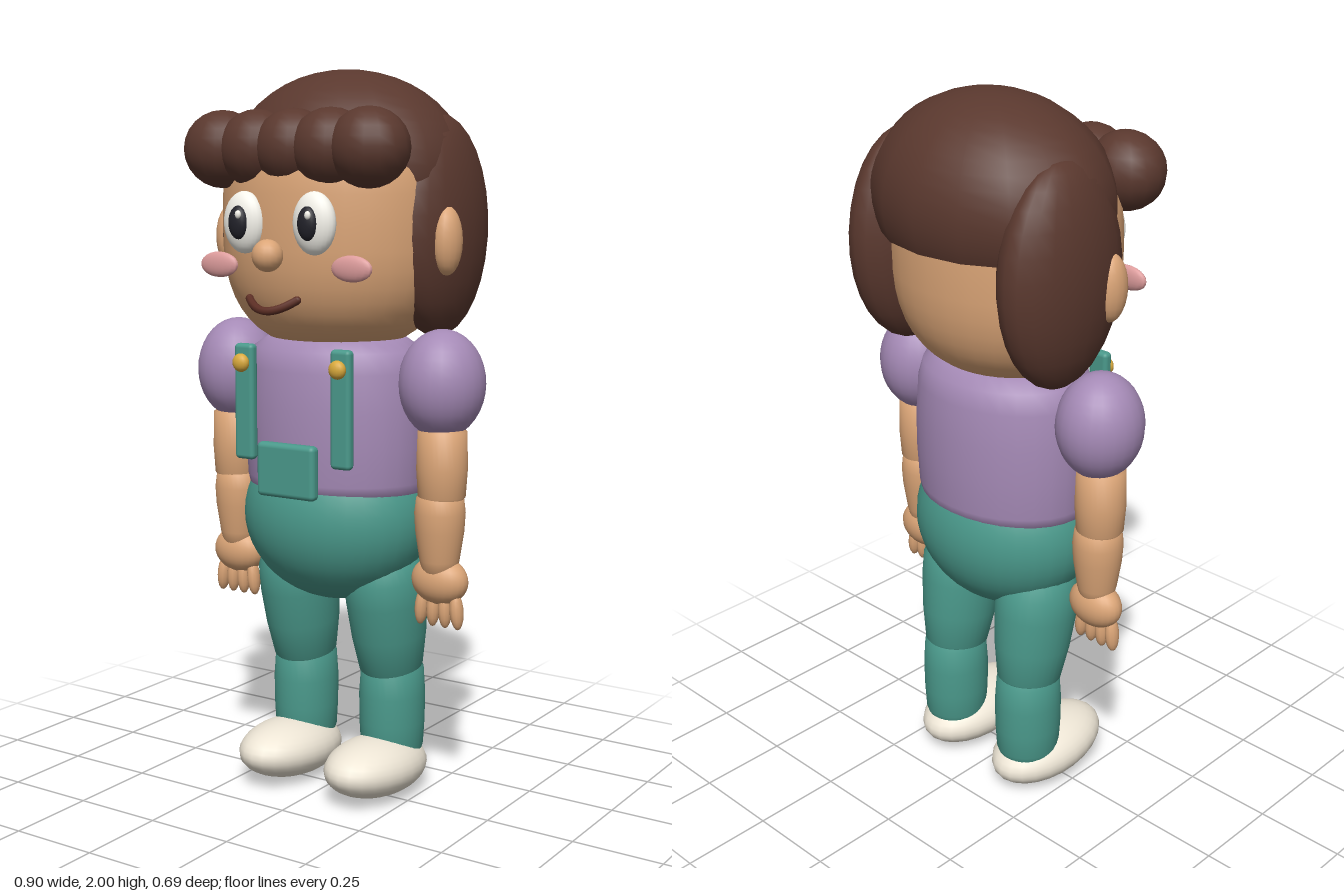
import * as THREE from 'three';
import { RoundedBoxGeometry } from 'three/addons/geometries/RoundedBoxGeometry.js';

const paint = (color) => new THREE.MeshStandardMaterial({ color });

export function createModel() {
  const model = new THREE.Group();
  model.name = 'child';
  const skin = paint(0xdba577), hair = paint(0x5a382e), shirt = paint(0xa58ab6), denim = paint(0x4a998b);
  const shoe = paint(0xeee6d6), white = paint(0xf4f2ea), dark = paint(0x22222a);
  const blush = paint(0xdd9c9c), brass = paint(0xd9a93c), lip = paint(0x5c2e24);
  hair.side = THREE.DoubleSide;

  const add = (name, geometry, material, [x, y, z], parent = model) => {
    const mesh = new THREE.Mesh(geometry, material);
    mesh.name = name;
    mesh.position.set(x, y, z);
    parent.add(mesh);
    return mesh;
  };
  // ellipsoid with three radii
  const ball = (name, material, pos, [rx, ry, rz], segments = 24, parent = model) =>
    add(name, new THREE.SphereGeometry(1, segments, Math.ceil(segments * 0.75)).scale(rx, ry, rz), material, pos, parent);
  // smooth lathe through [radius, y] points, squashed to an oval
  const turned = (name, material, points, pos, sx = 1, sz = 1, parent = model) => {
    const profile = points.map(([r, y]) => new THREE.Vector2(r, y));
    return add(name, new THREE.LatheGeometry(profile, 32).scale(sx, 1, sz), material, pos, parent);
  };

  // head: squarish oval profile
  const headProfile = [];
  for (let i = 0; i <= 24; i++) {
    const a = -Math.PI / 2 + (Math.PI * i) / 24;
    const c = Math.max(0, Math.cos(a)), s = Math.sin(a);
    headProfile.push([c ** (2 / 2.7), Math.sign(s) * Math.abs(s) ** (2 / 2.7) * (s < 0 ? 0.35 : 0.32)]);
  }
  headProfile[0][0] = headProfile[24][0] = 0;
  turned('head', skin, headProfile, [0, 1.6, -0.02], 0.325, 0.28);

  // hair cap and fringe curls
  add('hairCap', new THREE.SphereGeometry(1, 16, 14, 0, Math.PI * 2, 0, Math.PI * 0.61).scale(0.35, 0.275, 0.28),
    hair, [0, 1.725, -0.065]);
  for (let i = -2; i <= 2; i++) ball('fringeCurl', hair, [i * 0.115, 1.787, 0.182], [0.11, 0.103, 0.1], 16);

  // nose and mouth
  ball('nose', skin, [0, 1.515, 0.302], [0.042, 0.042, 0.04], 16);
  const smile = new THREE.QuadraticBezierCurve3(
    new THREE.Vector3(-0.075, 1.402, 0.278), new THREE.Vector3(0, 1.345, 0.34), new THREE.Vector3(0.075, 1.402, 0.278));
  add('mouth', new THREE.TubeGeometry(smile, 16, 0.011, 8), lip, [0, 0, 0]);
  for (const t of [0, 1]) ball('mouthCorner', lip, smile.getPoint(t).toArray(), [0.011, 0.011, 0.011], 8);

  // shirt body, trouser seat and bib
  turned('torso', shirt, [[0, 0.86], [0.255, 0.86], [0.264, 0.9], [0.27, 1.0], [0.27, 1.1], [0.262, 1.2],
    [0.245, 1.255], [0.2, 1.285], [0.1, 1.3], [0, 1.3]], [0, 0, -0.022], 1, 0.8);
  ball('trouserSeat', denim, [0, 0.79, -0.022], [0.275, 0.24, 0.224], 32);
  add('bibPocket', new RoundedBoxGeometry(0.185, 0.147, 0.035, 3, 0.014), denim, [0, 0.943, 0.217]);

  for (const s of [1, -1]) {
    const side = new THREE.Group();
    side.name = s > 0 ? 'leftSide' : 'rightSide';
    model.add(side);
    const part = (name, mat, [x, y, z], r, seg) => ball(name, mat, [s * x, y, z], r, seg, side);

    // side hair, ear and face details
    part('sideHair', hair, [0.268, 1.585, -0.105], [0.108, 0.295, 0.2], 20);
    part('ear', skin, [0.35, 1.55, -0.008], [0.04, 0.09, 0.048], 16);
    part('eye', white, [0.11, 1.597, 0.25], [0.063, 0.081, 0.036]);
    part('pupil', dark, [0.109, 1.597, 0.278], [0.03, 0.044, 0.02], 16);
    ball('eyeGlint', white, [s * 0.109 + 0.01, 1.618, 0.294], [0.009, 0.011, 0.007], 10, side);
    part('cheek', blush, [0.21, 1.484, 0.23], [0.062, 0.034, 0.015], 16);

    // braces with buttons
    add('brace', new RoundedBoxGeometry(0.062, 0.315, 0.03, 3, 0.012), denim, [s * 0.155, 1.115, 0.19], side);
    part('button', brass, [0.155, 1.222, 0.213], [0.025, 0.025, 0.018], 16);

    // arm: puffed sleeve, upper arm, forearm, hand, fingers
    part('sleeve', shirt, [0.335, 1.175, -0.017], [0.115, 0.145, 0.12]);
    turned('upperArm', skin, [[0, 0.84], [0.045, 0.85], [0.064, 0.875], [0.069, 0.95], [0.066, 1.05], [0, 1.1]],
      [s * 0.34, 0, -0.013], 1, 1, side);
    turned('forearm', skin, [[0, 0.63], [0.04, 0.645], [0.054, 0.7], [0.066, 0.78], [0.069, 0.83], [0.064, 0.87], [0.04, 0.9], [0, 0.91]],
      [s * 0.335, 0, -0.013], 1, 1, side);
    part('hand', skin, [0.335, 0.643, -0.016], [0.083, 0.066, 0.054]);
    for (let i = 0; i < 4; i++) {
      part('finger', skin, [0.283 + i * 0.036, 0.566, -0.01], [0.018, 0.052, 0.022], 12).rotation.z = s * (i - 1.5) * 0.06;
    }

    // leg: thigh leaning back to the knee, calf, shoe
    const thigh = turned('thigh', denim, [[0, -0.2], [0.06, -0.185], [0.09, -0.15], [0.106, -0.05], [0.115, 0.05], [0.115, 0.12],
      [0.09, 0.19], [0, 0.23]], [s * 0.146, 0.51, -0.058], 0.96, 1.07, side);
    thigh.rotation.x = 0.13;
    turned('calf', denim, [[0, 0.06], [0.07, 0.075], [0.088, 0.13], [0.092, 0.2], [0.093, 0.28], [0.088, 0.355],
      [0.06, 0.395], [0, 0.41]], [s * 0.147, 0, -0.082], 0.98, 1.06, side);
    part('shoe', shoe, [0.145, 0.088, 0], [0.12, 0.082, 0.195]).rotation.x = -0.08;
  }
  return model;
}
